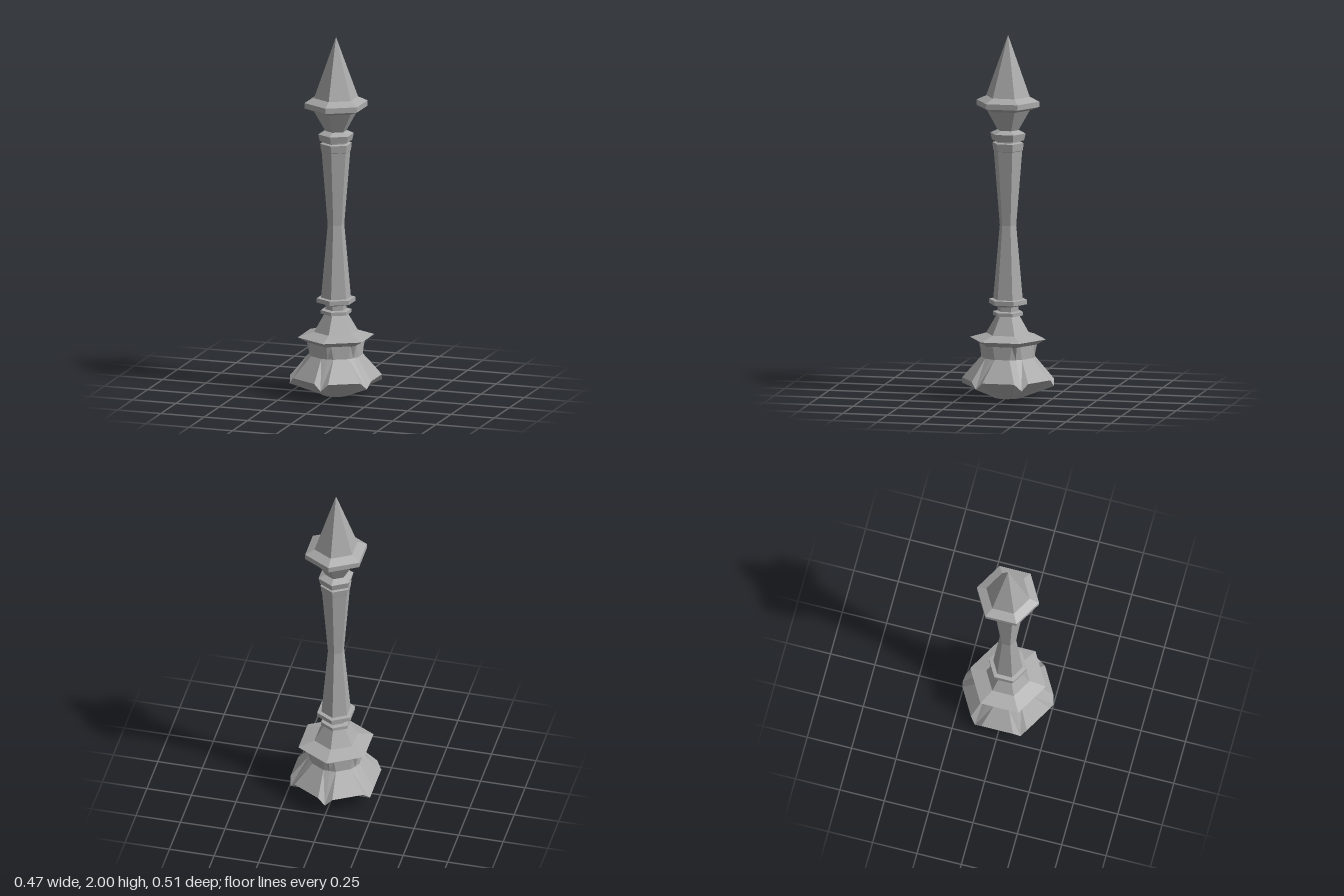
import * as THREE from 'three';

const stone = new THREE.MeshStandardMaterial({ color: 0xaaaaaa });
stone.name = 'grey stone';

// Faceted mesh with hard edges
function facet(name, geometry) {
  const g = geometry.index ? geometry.toNonIndexed() : geometry;
  g.computeVertexNormals();
  const mesh = new THREE.Mesh(g, stone);
  mesh.name = name;
  return mesh;
}

// Six-sided turning with corners on the z axis; profile is [radius, y] from bottom to top
function hexTurning(name, profile) {
  const points = profile.map(([r, y]) => new THREE.Vector2(r, y));
  return facet(name, new THREE.LatheGeometry(points, 6));
}

// Ring of six corners, each made of a middle point and two points beside it
function cornerRing(middle, side, spread) {
  const ring = [];
  for (let i = 0; i < 6; i++) {
    for (const s of [-1, 0, 1]) {
      const a = i * Math.PI / 3 + s * spread;
      const [r, y] = s === 0 ? middle : side;
      ring.push([r * Math.sin(a), y, r * Math.cos(a)]);
    }
  }
  return ring;
}

// Skin between rings, with a closed bottom
function loft(rings) {
  const pos = [];
  const n = rings[0].length;
  for (let k = 0; k < rings.length - 1; k++) {
    for (let i = 0; i < n; i++) {
      const j = (i + 1) % n;
      const a = rings[k][i], b = rings[k][j], c = rings[k + 1][j], d = rings[k + 1][i];
      // mirror the diagonal on either side of each corner
      if (i % 3 === 0) pos.push(...a, ...b, ...d, ...b, ...c, ...d);
      else pos.push(...a, ...b, ...c, ...a, ...c, ...d);
    }
  }
  for (let i = 0; i < n; i++) {
    pos.push(0, rings[0][0][1], 0, ...rings[0][(i + 1) % n], ...rings[0][i]);
  }
  const g = new THREE.BufferGeometry();
  g.setAttribute('position', new THREE.Float32BufferAttribute(pos, 3));
  return g;
}

export function createModel() {
  const group = new THREE.Group();
  group.name = 'balusterPost';

  // Bulbous foot: round underside, chipped-corner rim, round waist, hexagonal top
  const d = 0.16;
  const hexR = 0.162;
  const hexSide = hexR * Math.cos(Math.PI / 6) / Math.cos(Math.PI / 6 - d);
  group.add(facet('foot', loft([
    cornerRing([0.08, 0], [0.08, 0], 0.3),
    cornerRing([0.257, 0.07], [0.25, 0.107], d),
    cornerRing([0.146, 0.225], [0.148, 0.225], 0.24),
    cornerRing([hexR, 0.296], [hexSide, 0.296], d),
  ])));

  // Flared ledge and sloped collar above the foot
  group.add(hexTurning('ledge', [[0.16, 0.296], [0.213, 0.325], [0.122, 0.352], [0.064, 0.452]]));

  // Lower rings
  group.add(hexTurning('lowerRing', [
    [0.06, 0.45], [0.085, 0.453], [0.085, 0.472], [0.058, 0.476], [0.058, 0.502],
    [0.107, 0.516], [0.107, 0.54], [0.08, 0.543],
  ]));

  // Waisted shaft
  group.add(hexTurning('shaft', [[0.083, 0.54], [0.046, 0.95], [0.08, 1.365]]));

  // Upper rings
  group.add(hexTurning('upperRing', [
    [0.078, 1.36], [0.083, 1.364], [0.088, 1.405], [0.07, 1.41], [0.07, 1.418],
    [0.09, 1.42], [0.099, 1.458], [0.06, 1.476],
  ]));

  // Crown and pointed finial
  group.add(hexTurning('crown', [
    [0.058, 1.474], [0.122, 1.587], [0.175, 1.607], [0.175, 1.637], [0.122, 1.662],
  ]));
  group.add(hexTurning('finial', [[0.122, 1.662], [0, 2]]));

  return group;
}
